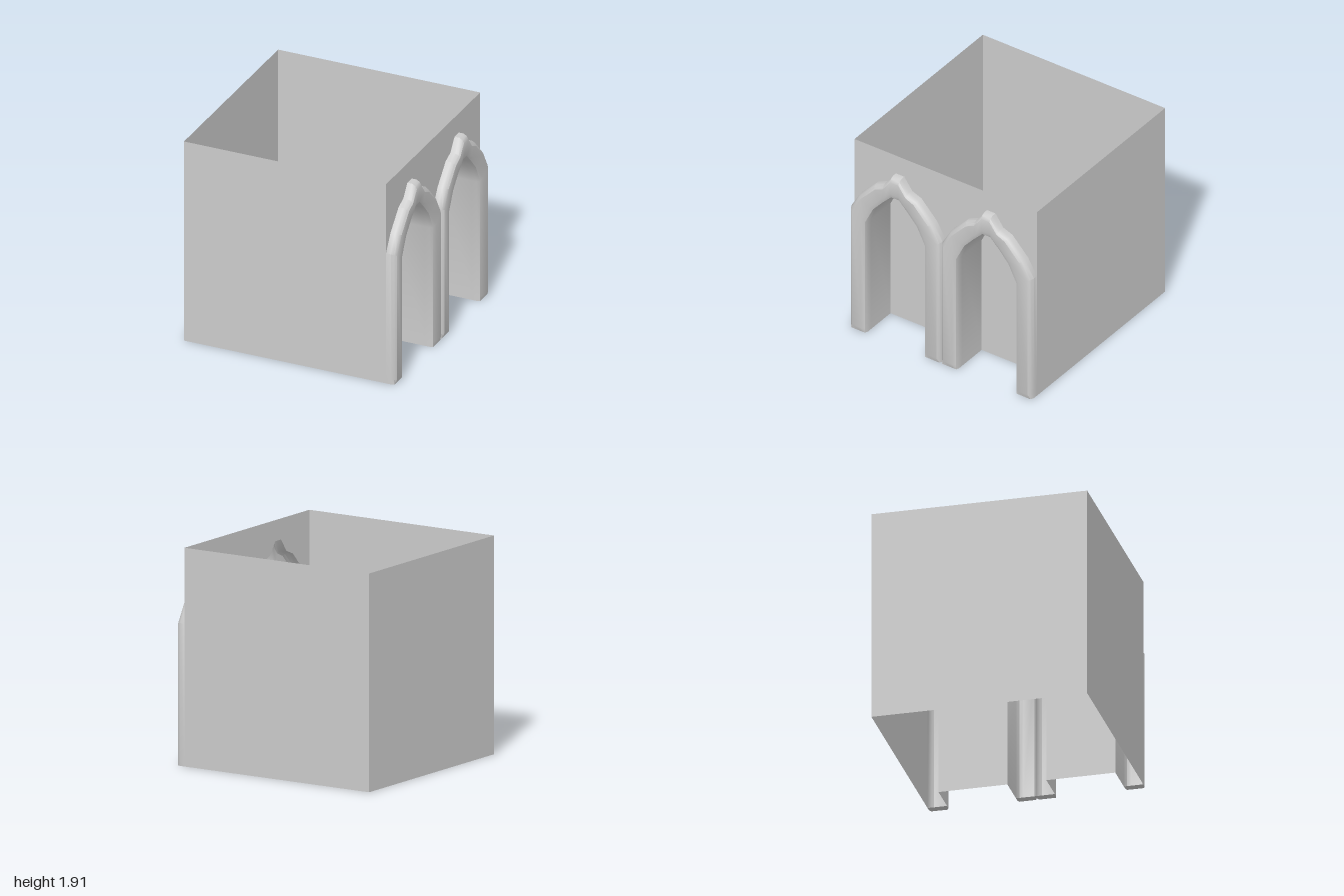
import * as THREE from 'three';
import { toCreasedNormals } from 'three/addons/utils/BufferGeometryUtils.js';

const H = 1.915, D = 0.955, WALL_X = 0.91, BACK_X = 0.62, C = D / 2;

// Half outlines of one arch, from spring line to apex: [half width, height]
const OUTER = [[C, 1.25], [0.387, 1.405], [0.223, 1.577], [0.126, 1.616], [0.044, 1.73]];
const INNER = [[0.305, 1.146], [0.22, 1.318], [0.12, 1.43], [0.042, 1.51]];
INNER.splice(1, 0, [0.262, 1.232]);

// Moulding section: [x, t], t = 0 on the outer outline, 1 on the opening
const SECTION = [
  [WALL_X, 0], [0.955, 0], [0.985, 0.08], [1, 0.2], [1, 0.75],
  [0.985, 0.94], [0.955, 1], [WALL_X, 1], [BACK_X, 1],
];

const material = new THREE.MeshStandardMaterial({ color: 0xcccccc, side: THREE.DoubleSide });

function part(name, geometry) {
  const mesh = new THREE.Mesh(geometry, material);
  mesh.name = name;
  return mesh;
}

// Mirrors a half outline into a full one running from +z to -z
function fullOutline(half) {
  return [...half, ...half.slice().reverse().map(([w, y]) => [-w, y])];
}

// Flat sheet facing +x, given [z, y] corners
function sheetX(points, x) {
  const shape = new THREE.Shape(points.map(([z, y]) => new THREE.Vector2(-z, y)));
  return new THREE.ShapeGeometry(shape).rotateY(Math.PI / 2).translate(x, 0, 0);
}

// Opening points matched one to one with the outer outline
const inner = [INNER[0], INNER[2], INNER[3], [0.095, 1.457], INNER[4]];

function withJambs(half) {
  const w = half[0][0];
  return fullOutline([[w, 0], [w, 0.045], ...half]);
}

// Moulding and reveal, lofted along the arch
function archSurface() {
  const a = withJambs(OUTER), b = withJambs(inner);
  const positions = [], index = [], cols = SECTION.length;
  a.forEach(([az, ay], i) => {
    const foot = i === 0 || i === a.length - 1;
    for (const [x, t] of SECTION) {
      positions.push(
        foot ? Math.min(x, 0.985) : x,
        THREE.MathUtils.lerp(ay, b[i][1], t),
        THREE.MathUtils.lerp(az, b[i][0], t));
    }
  });
  for (let i = 0; i < a.length - 1; i++) {
    for (let j = 0; j < cols - 1; j++) {
      const p = i * cols + j, q = p + cols;
      index.push(p, p + 1, q, p + 1, q + 1, q);
    }
  }
  const g = new THREE.BufferGeometry();
  g.setAttribute('position', new THREE.Float32BufferAttribute(positions, 3));
  g.setIndex(index);
  return toCreasedNormals(g, 0.6);
}

// Underside of one moulding leg
function footCap(side) {
  const pts = SECTION.slice(0, 8).map(([x, t]) => new THREE.Vector2(
    Math.min(x, 0.985), side * THREE.MathUtils.lerp(OUTER[0][0], inner[0][0], t)));
  return new THREE.ShapeGeometry(new THREE.Shape(pts)).rotateX(Math.PI / 2);
}

function createArch(name, z) {
  const arch = new THREE.Group();
  arch.name = name;
  arch.add(part('archMoulding', archSurface()));
  arch.add(part('recessPanel', sheetX(withJambs(inner), BACK_X)));
  for (const side of [1, -1]) arch.add(part('mouldingFoot', footCap(side)));
  arch.position.z = z;
  return arch;
}

export function createModel() {
  const model = new THREE.Group();
  model.name = 'archedRoom';

  // Three plain walls, open above and below
  const length = WALL_X + 1, midX = (WALL_X - 1) / 2;
  const plane = (w) => new THREE.PlaneGeometry(w, H);
  model.add(part('frontWall', plane(length).translate(midX, H / 2, D)));
  model.add(part('backWall', plane(length).rotateY(Math.PI).translate(midX, H / 2, -D)));
  model.add(part('plainSideWall', plane(2 * D).rotateY(-Math.PI / 2).translate(-1, H / 2, 0)));

  // Arched wall: only the part above the two arches remains
  const above = [C, -C].flatMap((c) => fullOutline(OUTER).map(([z, y]) => [z + c, y]));
  above.splice(OUTER.length * 2, 1); // shared point between the arches
  model.add(part('archedWall', sheetX([...above, [-D, H], [D, H]], WALL_X)));

  model.add(createArch('frontArch', C));
  model.add(createArch('backArch', -C));
  return model;
}
